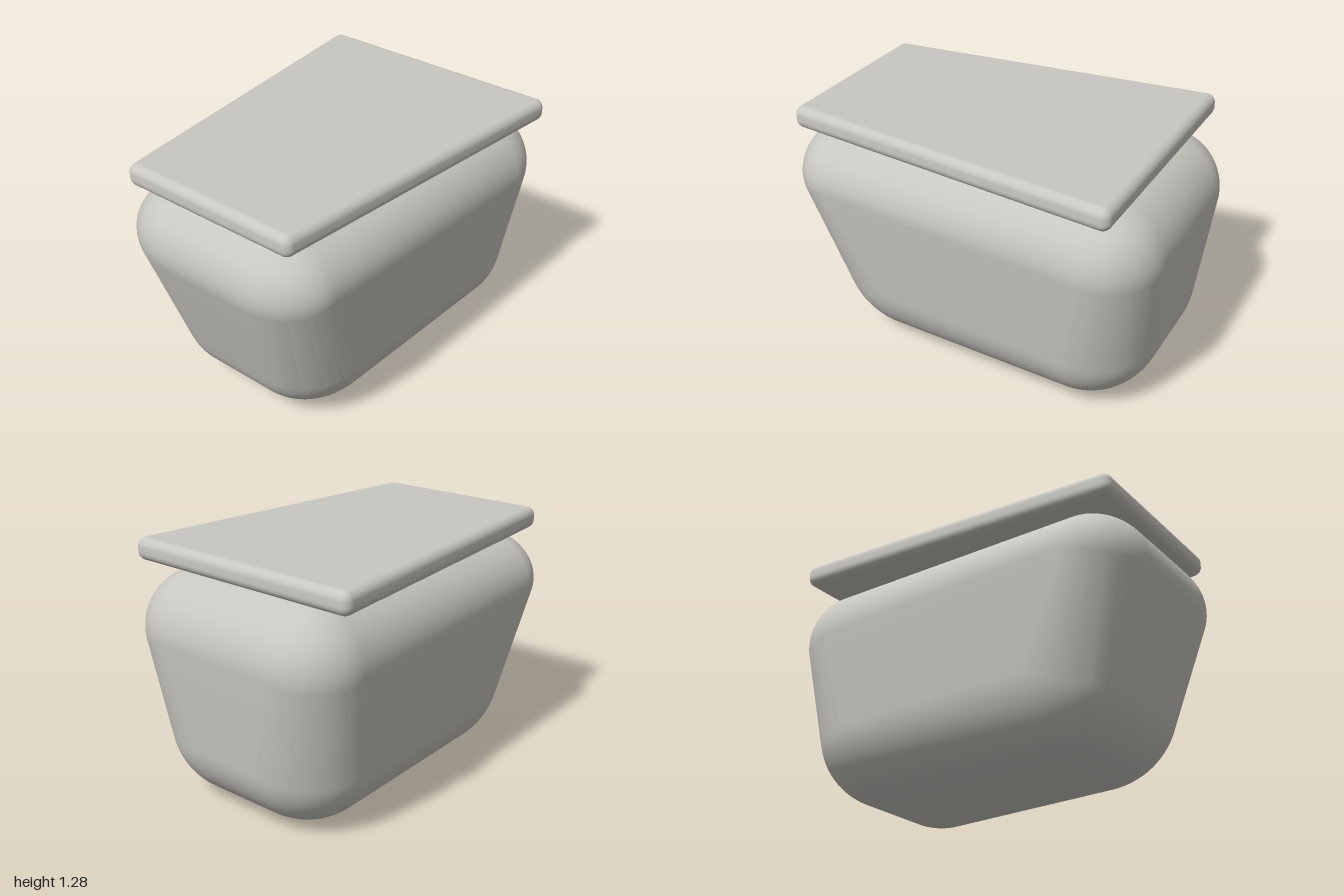
import * as THREE from 'three';

// Smooth convex skin stretched over ellipsoids given as centre c and radii r,
// mirrored in x. Each surface direction picks the outermost ellipsoid.
function roundedHull(corners, rows, cols) {
  const all = corners.flatMap(({ c, r }) => [
    { c: new THREE.Vector3(...c), r: new THREE.Vector3(...r) },
    { c: new THREE.Vector3(-c[0], c[1], c[2]), r: new THREE.Vector3(...r) },
  ]);
  const support = (n) => {
    let best = -Infinity;
    const point = new THREE.Vector3();
    for (const { c, r } of all) {
      const rn = n.clone().multiply(r);
      const len = rn.length();
      const reach = c.dot(n) + len;
      if (reach > best + 1e-12) {
        best = reach;
        point.copy(rn).multiply(r).divideScalar(len).add(c);
      }
    }
    return point;
  };

  const positions = [], normals = [], index = [];
  for (let i = 0; i <= rows; i++) {
    // The first and last rows close the flat top and bottom at their middle.
    const cap = i === 0 || i === rows;
    const t = THREE.MathUtils.clamp((i - 1) / (rows - 2), 0, 1);
    const theta = THREE.MathUtils.lerp(1e-4, Math.PI - 1e-4, t);
    for (let j = 0; j <= cols; j++) {
      const phi = (((j % cols) + 0.5) / cols) * Math.PI * 2;
      const n = new THREE.Vector3().setFromSphericalCoords(1, theta, phi);
      const p = support(n);
      if (cap) p.set(0, p.y, 0);
      positions.push(p.x, p.y, p.z);
      normals.push(n.x, n.y, n.z);
    }
  }
  const w = cols + 1;
  for (let i = 0; i < rows; i++) {
    for (let j = 0; j < cols; j++) {
      const a = i * w + j, b = a + w;
      index.push(a, b, b + 1);
      if (i > 0) index.push(a, b + 1, a + 1);
    }
  }
  const geometry = new THREE.BufferGeometry();
  geometry.setAttribute('position', new THREE.Float32BufferAttribute(positions, 3));
  geometry.setAttribute('normal', new THREE.Float32BufferAttribute(normals, 3));
  geometry.setIndex(index);
  return geometry;
}

export function createModel() {
  const group = new THREE.Group();
  const grey = new THREE.MeshStandardMaterial({ color: 0xc8c6c0 });
  grey.name = 'warm grey';

  // Tapered tub with soft corners, front wall leaning outward
  const body = new THREE.Mesh(roundedHull([
    { c: [0.255, 0.905, 0.72], r: [0.33, 0.26, 0.28] },
    { c: [0.335, 0.865, -0.70], r: [0.31, 0.30, 0.30] },
    { c: [0.19, 0.40, 0.42], r: [0.35, 0.40, 0.42] },
    { c: [0.205, 0.37, -0.60], r: [0.38, 0.37, 0.36] },
  ], 98, 128), grey);
  body.name = 'body';

  // Flat lid, narrower at the front
  const r = [0.045, 0.045, 0.045];
  const lid = new THREE.Mesh(roundedHull([1.21, 1.235].flatMap((y) => [
    { c: [0.45, y, 0.89], r },
    { c: [0.63, y, -0.805], r },
  ]), 50, 64), grey);
  lid.name = 'lid';

  group.add(body, lid);
  return group;
}
